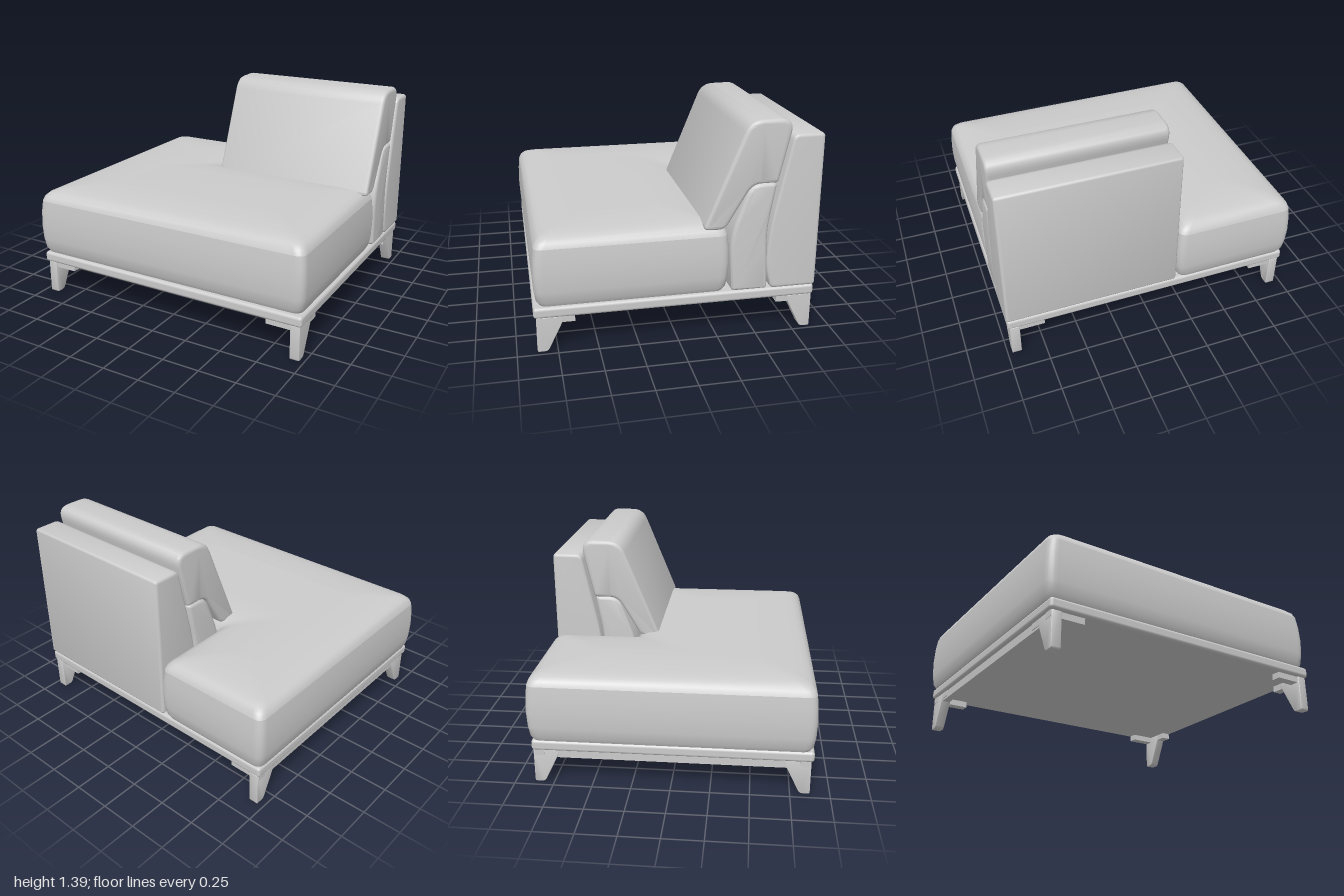
import * as THREE from 'three';
import { toCreasedNormals } from 'three/addons/utils/BufferGeometryUtils.js';
import { RoundedBoxGeometry } from 'three/addons/geometries/RoundedBoxGeometry.js';

const material = new THREE.MeshStandardMaterial({ color: 0xcccccc });

function add(parent, name, geometry) {
  const mesh = new THREE.Mesh(geometry, material);
  mesh.name = name;
  parent.add(mesh);
  return mesh;
}

// Polygon with every corner [x, y, radius] rounded off
function roundPoly(corners, steps = 6) {
  const out = [];
  corners.forEach(([x, y, r], i) => {
    const p = new THREE.Vector2(x, y);
    const toward = (q) => {
      const v = new THREE.Vector2(q[0], q[1]).sub(p);
      return p.clone().add(v.setLength(Math.min(r, v.length() * 0.48)));
    };
    const a = toward(corners.at(i - 1));
    const b = toward(corners[(i + 1) % corners.length]);
    out.push(...new THREE.QuadraticBezierCurve(a, p, b).getPoints(steps));
  });
  return out;
}

// Side profile in (z, y), extruded across x with soft edges
function profile(corners, x0, x1, bevel, steps = 6) {
  const geometry = new THREE.ExtrudeGeometry(new THREE.Shape(roundPoly(corners, steps)), {
    depth: x1 - x0 - 2 * bevel, bevelThickness: bevel, bevelSize: bevel,
    bevelOffset: -bevel, bevelSegments: 4,
  });
  geometry.rotateY(-Math.PI / 2).translate(x1 - bevel, 0, 0);
  return toCreasedNormals(geometry, 0.7);
}

// L-shaped seat outline: x, -z, and the outward signs used for insetting
const seatCorners = [
  [-1, -0.9, -1, -1], [0.99, -0.885, 1, -1], [0.99, 0.325, 1, 1],
  [-0.17, 0.325, 1, 1], [-0.17, 0.905, 1, 1], [-1, 0.905, -1, 1],
];

// Stack of inset outlines [inset, y], closed at the top or the bottom
function seatLoft(rings, closeTop) {
  const outlines = rings.map(([d]) =>
    roundPoly(seatCorners.map(([x, w, sx, sw]) => [x - sx * d, w - sw * d, 0.06])));
  const n = outlines[0].length;
  const positions = [], index = [];
  outlines.forEach((ring, k) => ring.forEach((p) => positions.push(p.x, rings[k][1], -p.y)));
  for (let k = 0; k < rings.length - 1; k++) {
    for (let i = 0; i < n; i++) {
      const a = k * n + i, b = k * n + (i + 1) % n;
      index.push(a, b, b + n, a, b + n, a + n);
    }
  }
  const base = closeTop ? (rings.length - 1) * n : 0;
  const cap = THREE.ShapeUtils.triangulateShape(outlines[closeTop ? rings.length - 1 : 0], []);
  for (const [a, b, c] of cap) {
    index.push(base + a, base + (closeTop ? b : c), base + (closeTop ? c : b));
  }
  const geometry = new THREE.BufferGeometry();
  geometry.setAttribute('position', new THREE.Float32BufferAttribute(positions, 3));
  geometry.setIndex(index);
  geometry.computeVertexNormals();
  return geometry;
}

export function createModel() {
  const model = new THREE.Group();
  model.name = 'chaiseSofa';

  // Seat cushion: bulging sides up to the seam, then a domed top
  const seat = new THREE.Group();
  seat.name = 'seat';
  model.add(seat);
  add(seat, 'seatSides', toCreasedNormals(seatLoft(
    [[0.03, 0.3], [0.014, 0.33], [0.004, 0.4], [0, 0.5], [0.004, 0.6], [0.012, 0.675]], false), 0.7));
  add(seat, 'seatTop', seatLoft(
    [[0.012, 0.675], [0.025, 0.707], [0.05, 0.73], [0.09, 0.745], [0.16, 0.755], [0.25, 0.763], [0.36, 0.768]], true));

  // Backrest, with a slanted front
  add(model, 'backrest', profile([
    [-0.59, 0.3, 0.03], [-0.552, 0.45, 0.1], [-0.565, 0.7, 0.15],
    [-0.69, 1.297, 0.04], [-0.887, 1.297, 0.025], [-0.887, 0.3, 0.02],
  ], -0.17, 0.99, 0.02));

  // Support cushion between the seat and the backrest
  add(model, 'lumbarSupport', profile([
    [-0.34, 0.3, 0.02], [-0.315, 0.66, 0.12], [-0.44, 1.0, 0.08],
    [-0.605, 1.0, 0.03], [-0.553, 0.7, 0.1], [-0.57, 0.3, 0.02],
  ], -0.165, 0.987, 0.025));

  // Leaning back cushion, notched to rest on the support
  add(model, 'backCushion', profile([
    [-0.15, 0.72, 0.03], [-0.42, 1.39, 0.08], [-0.7, 1.395, 0.1],
    [-0.61, 0.995, 0.025], [-0.45, 0.995, 0.06], [-0.285, 0.712, 0.05],
  ], -0.165, 0.982, 0.025));

  // Plinth under the upholstery
  add(model, 'plinth', new RoundedBoxGeometry(1.96, 0.07, 1.775, 3, 0.02))
    .position.set(0.005, 0.265, 0.004);

  // Four tapered legs, each with an L-shaped mounting bracket
  const legProfile = [
    [0.875, 0.23, 0.005], [0.875, 0, 0.01], [0.81, 0, 0.02], [0.715, 0.195, 0.03], [0.7, 0.23, 0.005],
  ];
  for (const sx of [-1, 1]) {
    for (const sz of [-1, 1]) {
      const leg = new THREE.Group();
      leg.name = (sz > 0 ? 'front' : 'back') + (sx > 0 ? 'Left' : 'Right') + 'Leg';
      const points = legProfile.map(([z, y, r]) => [z * sz, y, r]);
      if (sz > 0) points.reverse();
      const x0 = sx > 0 ? 0.907 : -0.957;
      add(leg, 'foot', profile(points, x0, x0 + 0.063, 0.004, 3));
      add(leg, 'crossBracket', new THREE.BoxGeometry(0.22, 0.04, 0.06))
        .position.set(sx * 0.85, 0.21, sz * 0.835);
      add(leg, 'sideBracket', new THREE.BoxGeometry(0.06, 0.04, 0.2))
        .position.set(x0 + 0.031, 0.21, sz * 0.74);
      model.add(leg);
    }
  }

  // Single rail along the right side
  add(model, 'sideRail', new THREE.BoxGeometry(0.05, 0.055, 1.46))
    .position.set(-0.926, 0.203, 0);

  return model;
}
